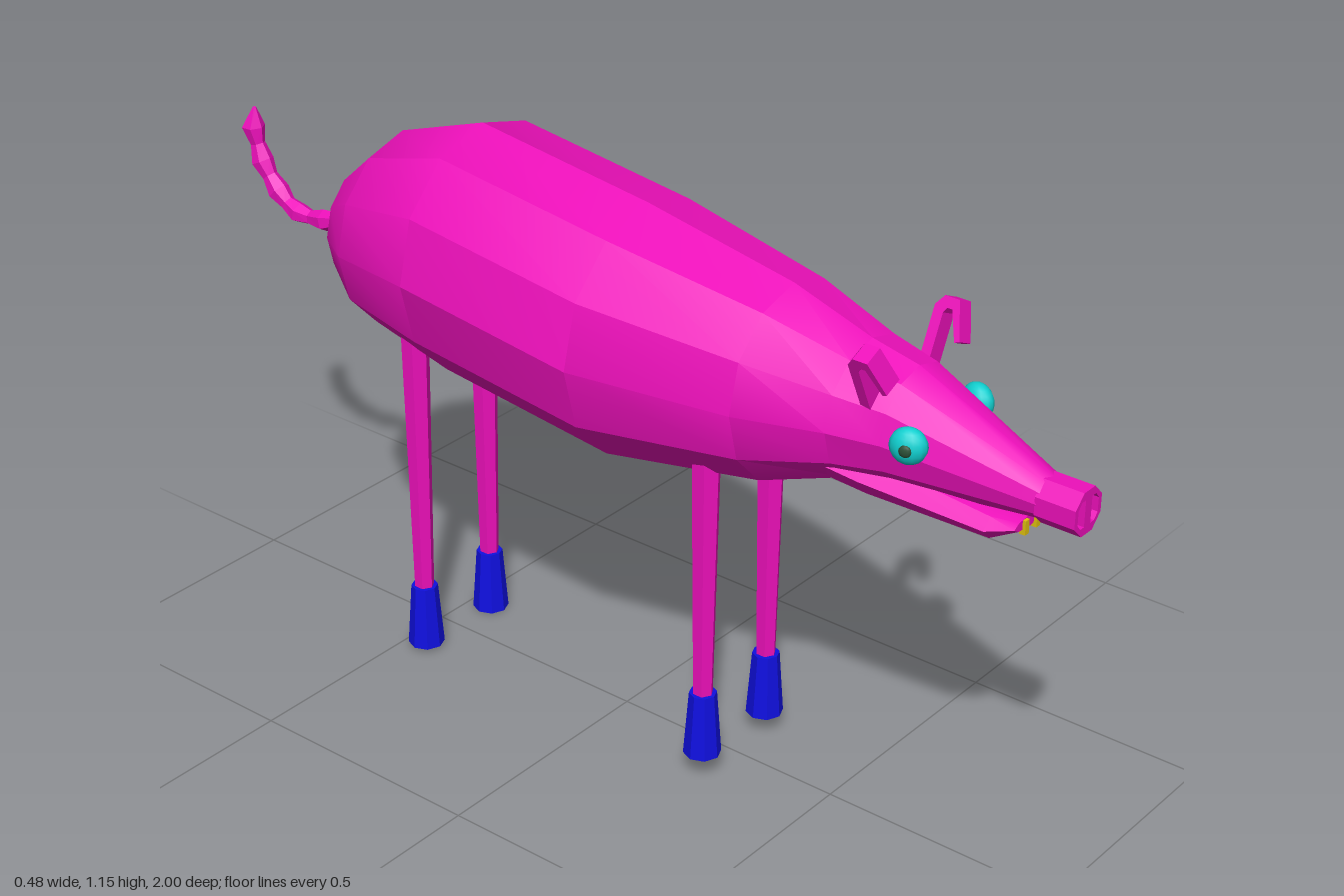
import * as THREE from 'three';
import { toCreasedNormals } from 'three/addons/utils/BufferGeometryUtils.js';

const mat = (color, flatShading = false) => new THREE.MeshStandardMaterial({ color, flatShading });

// Skin over elliptical rings [z, y, rx, ry]; rings can follow the slope of their path.
function loft(rings, sides, followPath = false) {
  const pos = [], idx = [];
  rings.forEach(([z, y, rx, ry], i) => {
    const a = rings[Math.max(i - 1, 0)], b = rings[Math.min(i + 1, rings.length - 1)];
    let tz = 1, ty = 0;
    if (followPath) {
      const len = Math.hypot(b[0] - a[0], b[1] - a[1]);
      tz = (b[0] - a[0]) / len;
      ty = (b[1] - a[1]) / len;
    }
    for (let j = 0; j < sides; j++) {
      const t = (j / sides) * Math.PI * 2, c = ry * Math.cos(t);
      pos.push(rx * Math.sin(t), y + c * tz, z - c * ty);
    }
  });
  const last = (rings.length - 1) * sides;
  for (let j = 0; j < sides; j++) {
    const k = (j + 1) % sides;
    for (let r = 0; r < last; r += sides) {
      idx.push(r + j, r + sides + j, r + k, r + k, r + sides + j, r + sides + k);
    }
    if (j > 0 && k > 0) idx.push(0, j, k, last, last + k, last + j);
  }
  const g = new THREE.BufferGeometry();
  g.setAttribute('position', new THREE.Float32BufferAttribute(pos, 3));
  g.setIndex(idx);
  return toCreasedNormals(g, 0.5);
}

export function createModel() {
  const group = new THREE.Group();
  const skin = mat(0xee10bb), skinFlat = mat(0xee10bb, true);
  const hoofMat = mat(0x1010e0, true), eyeMat = mat(0x10d0d0);
  const pupilMat = mat(0x2c5038), toothMat = mat(0xe0c010, true);

  const add = (name, geometry, material, x = 0, y = 0, z = 0) => {
    const m = new THREE.Mesh(geometry, material);
    m.name = name;
    m.position.set(x, y, z);
    group.add(m);
    return m;
  };

  // Body tapering into the head
  add('body', loft([
    [-0.67, 0.86, 0.11, 0.12],
    [-0.56, 0.88, 0.19, 0.2],
    [-0.35, 0.898, 0.24, 0.253],
    [0.05, 0.85, 0.24, 0.25],
    [0.38, 0.848, 0.183, 0.192],
    [0.55, 0.853, 0.134, 0.133],
    [0.65, 0.853, 0.112, 0.112],
    [0.93, 0.805, 0.04, 0.04],
  ], 12), skin);

  // Lower jaw
  add('lowerJaw', loft([
    [0.5, 0.775, 0.11, 0.055],
    [0.6, 0.76, 0.1, 0.05],
    [0.84, 0.735, 0.068, 0.03],
    [0.89, 0.747, 0.05, 0.012],
  ], 8), skin);

  // Octagonal snout with two nostril holes
  const snout = new THREE.Shape();
  for (let i = 0; i < 8; i++) {
    const t = (i + 0.5) * Math.PI / 4;
    snout[i ? 'lineTo' : 'moveTo'](0.045 * Math.cos(t), 0.046 * Math.sin(t));
  }
  snout.closePath();
  for (const s of [-1, 1]) {
    const hole = new THREE.Path();
    hole.setFromPoints([[0.01, -0.026], [0.022, -0.026], [0.032, -0.014], [0.032, 0.014], [0.022, 0.026], [0.01, 0.026]]
      .map(([x, y]) => new THREE.Vector2(s * x, y)));
    hole.closePath();
    snout.holes.push(hole);
  }
  add('snout', new THREE.ExtrudeGeometry(snout, { depth: 0.08, bevelEnabled: false }), skinFlat, 0, 0.803, 0.92);

  // Hooked ear profile: z along the first axis, y along the second
  const ear = new THREE.Shape([
    [0, -0.04], [0, 0.1], [0.015, 0.12], [0.045, 0.12], [0.068, 0.05],
    [0.058, 0.046], [0.036, 0.1], [0.026, 0.1], [0.02, 0.09], [0.02, -0.04],
  ].map(([z, y]) => new THREE.Vector2(-z, y)));
  const earGeo = new THREE.ExtrudeGeometry(ear, { depth: 0.04, bevelEnabled: false });
  earGeo.translate(0, 0, -0.02).rotateY(Math.PI / 2);

  for (const s of [-1, 1]) {
    const side = s > 0 ? 'left' : 'right';
    const e = add(side + 'Ear', earGeo, skinFlat, s * 0.088, 0.926, 0.602);
    e.rotation.z = -s * 0.43;

    // Bulging eye with a pupil facing outward
    const eye = add(side + 'Eye', new THREE.SphereGeometry(0.035, 14, 10), eyeMat, s * 0.106, 0.871, 0.705);
    eye.scale.x = 0.7;
    eye.rotation.y = -s * 0.3;
    const pupil = add(side + 'Pupil', new THREE.SphereGeometry(0.012, 10, 8), pupilMat, s * 0.127, 0.871, 0.712);
    pupil.scale.x = 0.5;
    pupil.rotation.y = -s * 0.3;

    add(side + 'Tooth', new THREE.BoxGeometry(0.012, 0.028, 0.012), toothMat, s * 0.018, 0.742, 0.89);

    // Legs and hooves, front pair standing a little higher
    const lift = s > 0 ? 0 : 0.008, x = s > 0 ? 0.102 : -0.096;
    for (const [end, z, ground, top] of [['Front', 0.265, 0.04, 0.715], ['Rear', -0.455, 0, 0.74]]) {
      const ankle = ground + 0.13, h = top - ankle;
      add(side + end + 'Leg', new THREE.CylinderGeometry(0.029, 0.02, h, 6), skinFlat, x, ankle + h / 2, z);
      add(side + end + 'Hoof', new THREE.CylinderGeometry(0.027, 0.037, 0.135, 8), hoofMat,
        x, ground + lift + 0.0675, z);
    }
  }

  // Knotted tail from the tip back to the rump
  add('tail', loft([
    [-0.972, 1.022, 0.004], [-0.978, 0.98, 0.024], [-0.968, 0.945, 0.015],
    [-0.957, 0.91, 0.023], [-0.938, 0.882, 0.016], [-0.915, 0.855, 0.023],
    [-0.89, 0.835, 0.016], [-0.86, 0.822, 0.022], [-0.825, 0.821, 0.015],
    [-0.785, 0.826, 0.023], [-0.745, 0.838, 0.016], [-0.705, 0.852, 0.024],
    [-0.65, 0.865, 0.022],
  ].map(([z, y, r]) => [z, y, r, r]), 6, true), skinFlat);

  return group;
}
